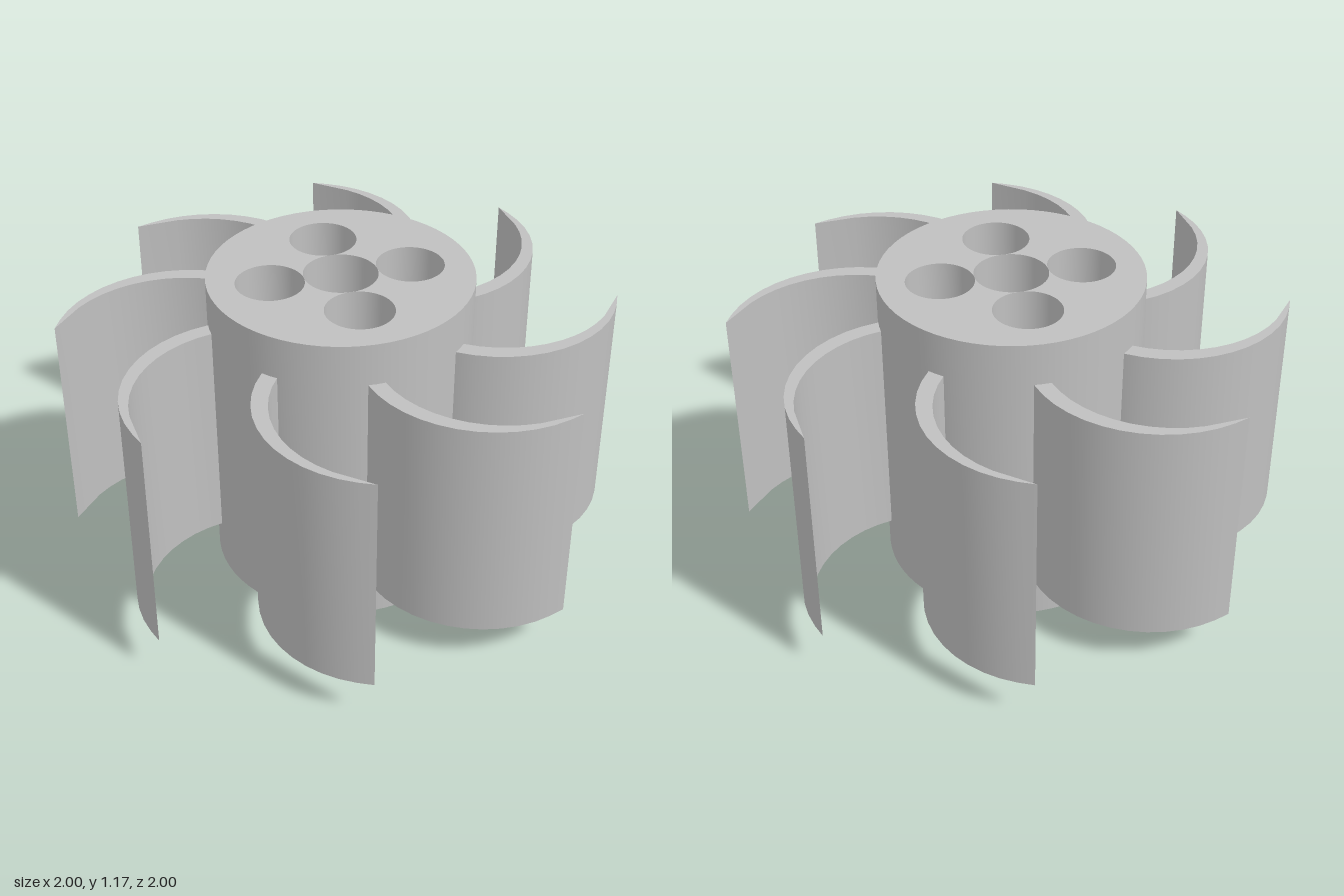
import * as THREE from 'three';
import { toCreasedNormals } from 'three/addons/utils/BufferGeometryUtils.js';

const HUB_R = 0.475, HUB_H = 1.167;
const BLADE_BOTTOM = 0.16, BLADE_TOP = 1.01, BLADES = 8;
const BORE_R = 0.133, POCKET_R = 0.122, BOLT_R = 0.071, BOLT_POS = 0.18;
const LEDGE_DEPTH = 0.3;

// Points along an arc in plan (x, z), angles in degrees
function arc(cx, cz, r, from, to, steps) {
  return Array.from({ length: steps + 1 }, (_, i) => {
    const a = THREE.MathUtils.degToRad(from + (to - from) * i / steps);
    return new THREE.Vector2(cx + r * Math.cos(a), cz + r * Math.sin(a));
  });
}

// Extrude a plan outline (x, z) upright between two heights
function upright(shape, bottom, top) {
  const g = new THREE.ExtrudeGeometry(shape, { depth: top - bottom, bevelEnabled: false, curveSegments: 32 });
  g.rotateX(Math.PI / 2);
  g.translate(0, top, 0);
  return toCreasedNormals(g, Math.PI / 7);
}

function addHole(shape, x, z, r) {
  const hole = new THREE.Path();
  hole.absarc(x, z, r, 0, Math.PI * 2, true);
  shape.holes.push(hole);
}

export function createModel() {
  const model = new THREE.Group();
  model.name = 'impeller';
  const grey = new THREE.MeshStandardMaterial({ color: 0xc0c0c0 });
  grey.name = 'light grey';

  const add = (name, geometry) => {
    const mesh = new THREE.Mesh(geometry, grey);
    mesh.name = name;
    model.add(mesh);
    return mesh;
  };

  // Hub with a central bore and four bolt pockets
  const disc = new THREE.Shape();
  disc.absarc(0, 0, HUB_R, 0, Math.PI * 2, false);
  addHole(disc, 0, 0, BORE_R);
  const corners = [[1, 1], [1, -1], [-1, -1], [-1, 1]].map(([x, z]) => [x * BOLT_POS, z * BOLT_POS]);
  corners.forEach(([x, z]) => addHole(disc, x, z, POCKET_R));
  add('hub', upright(disc, 0, HUB_H));

  // Narrow bolt bores with a ledge at each end, inside the pockets
  const top = HUB_H - LEDGE_DEPTH;
  const profile = [[POCKET_R, top], [BOLT_R, top], [BOLT_R, LEDGE_DEPTH], [POCKET_R, LEDGE_DEPTH]]
    .map(([r, y]) => new THREE.Vector2(r, y));
  const collar = toCreasedNormals(new THREE.LatheGeometry(profile, 64), Math.PI / 7);
  corners.forEach(([x, z]) => add('boltCollar', collar).position.set(x, 0, z));

  // Curved blades, tapering from the root to a bevelled tip
  const outline = [
    new THREE.Vector2(-0.03, 0.45),
    ...arc(0.41, 0.405, 0.445, 171, 72, 12),
    new THREE.Vector2(0.603, 0.808),
    ...arc(0.45, 0.395, 0.427, 90, 170, 10),
    new THREE.Vector2(0.025, 0.45),
  ];
  const blade = upright(new THREE.Shape(outline), BLADE_BOTTOM, BLADE_TOP);
  for (let i = 0; i < BLADES; i++) {
    add('blade', blade).rotation.y = i * Math.PI * 2 / BLADES;
  }
  return model;
}
